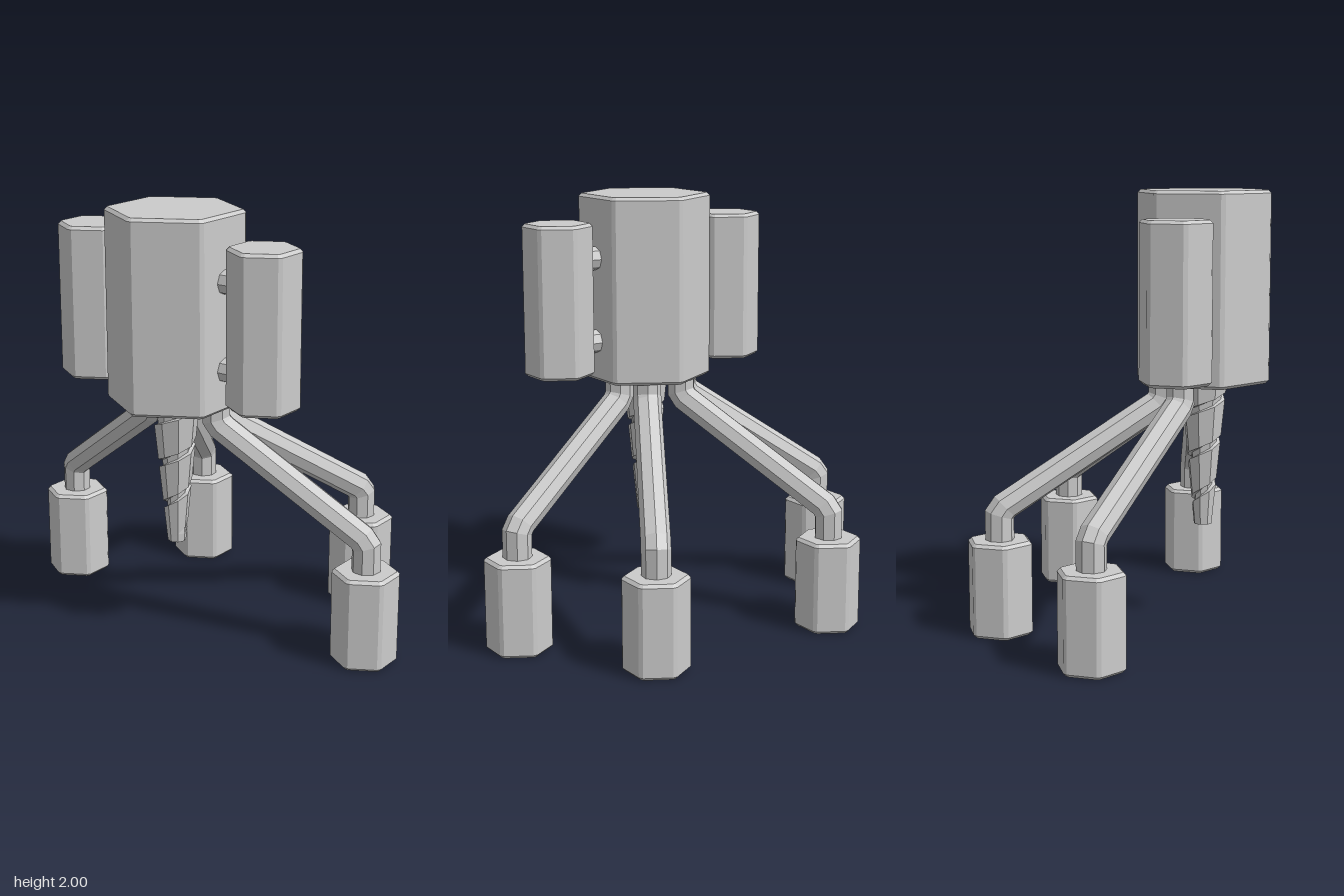
import * as THREE from 'three';

const grey = new THREE.MeshStandardMaterial({ color: 0xcccccc, flatShading: true });
const MID_Z = 0.325; // z of the body axis

function addMesh(parent, geometry, name) {
  const mesh = new THREE.Mesh(geometry, grey);
  mesh.name = name;
  parent.add(mesh);
  return mesh;
}

// Hexagonal prism with chamfered edges, a corner towards +z, base at y = 0
function hexPrism(apothem, height, bevel = 0.014) {
  const r = (apothem - bevel) / Math.cos(Math.PI / 6);
  const corners = [];
  for (let i = 0; i < 6; i++) {
    const a = Math.PI / 2 + (i * Math.PI) / 3;
    corners.push(new THREE.Vector2(r * Math.cos(a), r * Math.sin(a)));
  }
  const cut = 0.008 / r;
  const points = corners.flatMap((c, i) => [
    c.clone().lerp(corners[(i + 5) % 6], cut),
    c.clone().lerp(corners[(i + 1) % 6], cut),
  ]);
  const geometry = new THREE.ExtrudeGeometry(new THREE.Shape(points), {
    depth: height - 2 * bevel, bevelEnabled: true,
    bevelThickness: bevel, bevelSize: bevel, bevelSegments: 1,
  });
  return geometry.rotateX(-Math.PI / 2).translate(0, bevel, 0);
}

// Surface through rings of points; rings turn counterclockwise about the path
function loft(rings) {
  const n = rings[0].length;
  const index = [];
  for (let i = 0; i < rings.length - 1; i++) {
    for (let j = 0; j < n - 1; j++) {
      const a = i * n + j;
      index.push(a, a + 1, a + n, a + 1, a + n + 1, a + n);
    }
  }
  const geometry = new THREE.BufferGeometry().setFromPoints(rings.flat());
  geometry.setIndex(index);
  const flat = geometry.toNonIndexed();
  flat.computeVertexNormals();
  return flat;
}

// Mitred eight-sided pipe along a path in the xy plane
function pipe(path, radius, sides = 8) {
  const rings = path.map((p, i) => {
    const before = p.clone().sub(path[Math.max(i - 1, 0)]).normalize();
    const after = path[Math.min(i + 1, path.length - 1)].clone().sub(p).normalize();
    const t = before.clone().add(after).normalize();
    const stretch = radius / Math.max(t.dot(before), t.dot(after));
    return Array.from({ length: sides + 1 }, (_, j) => {
      const a = (j / sides) * Math.PI * 2;
      const s = Math.cos(a) * stretch;
      return new THREE.Vector3(p.x - t.y * s, p.y + t.x * s, Math.sin(a) * radius);
    });
  });
  return loft(rings);
}

// Tapered drill with a spiral groove, built from the top down
function drillGeometry(bottom, top, sides = 8) {
  const pitch = 0.2, groove = 0.035;
  const rings = [];
  for (let k = 4; k >= -2; k--) {
    for (const [drop, inset] of [[0, 0], [0.004, 1], [groove - 0.004, 1], [groove, 0]]) {
      rings.push(Array.from({ length: sides + 1 }, (_, j) => {
        const a = (j / sides) * Math.PI * 2;
        const raw = 0.73 + pitch * (k - j / sides) - drop;
        const y = THREE.MathUtils.clamp(raw, bottom, top);
        const depth = 0.018 * THREE.MathUtils.clamp((y - 0.5) / 0.1, 0, 1);
        const r = 0.042 + 0.1 * (y - bottom) - (raw < top ? inset * depth : 0);
        return new THREE.Vector3(r * Math.cos(a), y, r * Math.sin(a));
      }));
    }
  }
  return loft(rings);
}

function addLeg(parent, x, z, side, place) {
  const leg = new THREE.Group();
  leg.name = `${place}Leg`;
  parent.add(leg);

  // Bent strut, running outwards from the body axis
  const reach = Math.hypot(x, z - MID_Z);
  const path = [[0.19, 1.15], [0.19, 1.065], [0.215, 1.03], [reach - 0.025, 0.59],
    [reach, 0.555], [reach, 0.42]].map(([px, py]) => new THREE.Vector2(px, py));
  const strut = addMesh(leg, pipe(path, 0.066), 'strut');
  strut.position.z = MID_Z;
  strut.rotation.y = Math.atan2(MID_Z - z, side * x);

  // Hexagonal foot
  addMesh(leg, hexPrism(0.135, 0.435), 'foot').position.set(side * x, 0.005, z);
}

export function createModel() {
  const model = new THREE.Group();
  model.name = 'drillingMachine';

  addMesh(model, hexPrism(0.272, 0.87), 'body').position.set(0, 1.13, MID_Z);

  for (const side of [1, -1]) {
    const label = side > 0 ? 'left' : 'right';

    // Side tank with its two connecting pipes
    addMesh(model, hexPrism(0.144, 0.705), `${label}Tank`)
      .position.set(side * 0.474, 1.18, MID_Z - 0.003);
    for (const y of [1.32, 1.71]) {
      const connector = addMesh(model, new THREE.CylinderGeometry(0.055, 0.055, 0.2, 8), `${label}Connector`);
      connector.rotation.z = Math.PI / 2;
      connector.position.set(side * 0.3, y, MID_Z);
    }

    addLeg(model, 0.857, 0.065, side, `${label}Front`);
    addLeg(model, 0.481, -0.493, side, `${label}Rear`);
  }

  // Drill and its blunt tip
  const drill = new THREE.Group();
  drill.name = 'drill';
  drill.position.z = MID_Z + 0.005;
  model.add(drill);
  addMesh(drill, drillGeometry(0.46, 1.15), 'drillBit');
  const tip = addMesh(drill, new THREE.CircleGeometry(0.042, 8), 'drillTip');
  tip.rotation.x = Math.PI / 2;
  tip.position.y = 0.46;

  return model;
}
